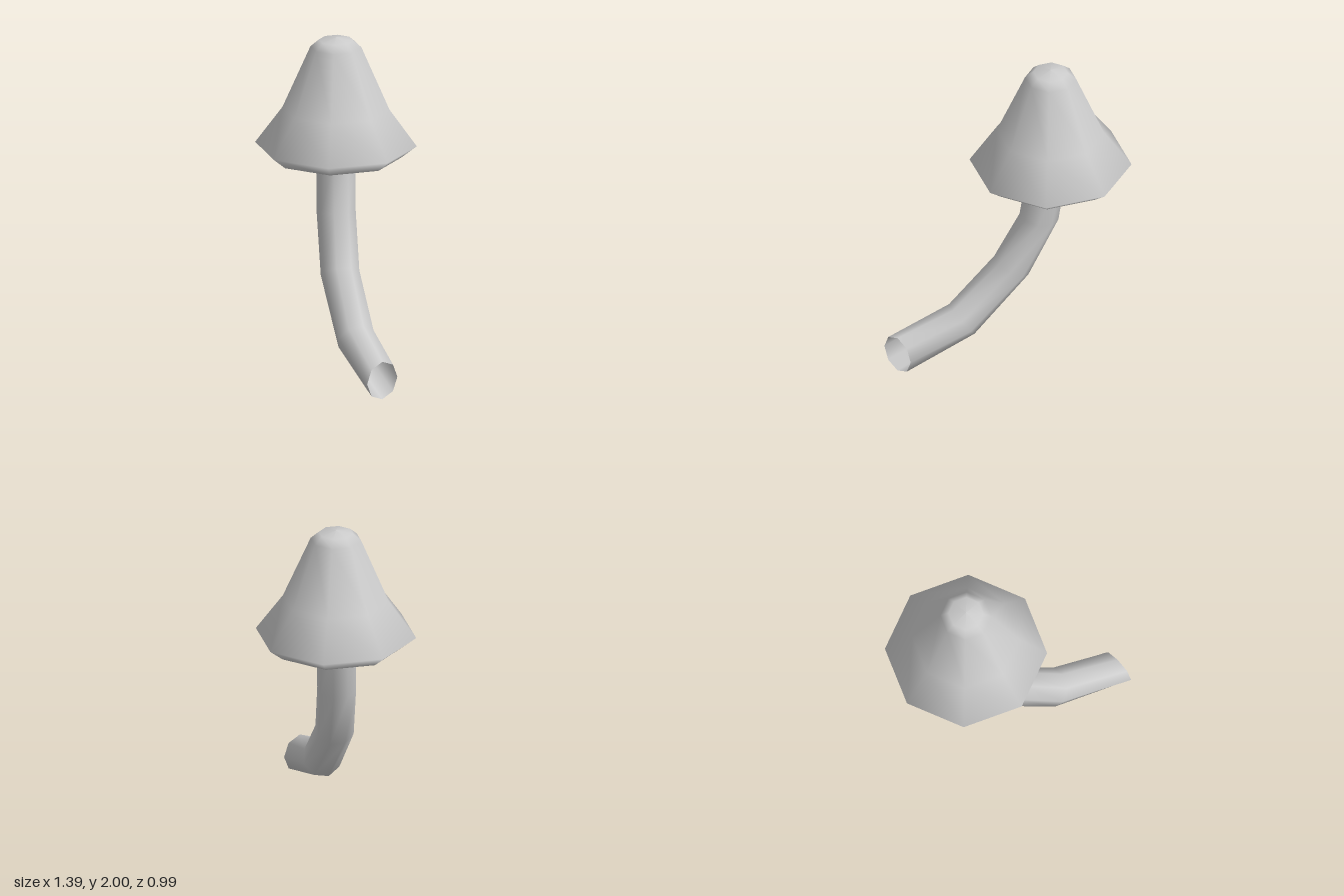
import * as THREE from 'three';
import { mergeVertices } from 'three/addons/utils/BufferGeometryUtils.js';

const material = new THREE.MeshStandardMaterial({ color: 0xcccccc, side: THREE.DoubleSide });
const SIDES = 8;
const v = (x, y, z) => new THREE.Vector3(x, y, z);

// Bent octagonal tube: each row of a cylinder is moved onto a ring with its own centre and direction
function bentTube(rings, radius) {
  const geo = new THREE.CylinderGeometry(1, 1, 1, SIDES, rings.length - 1, true);
  const pos = geo.attributes.position;
  rings.forEach(([centre, direction], row) => {
    const t = direction.clone().normalize();
    const n = v(0, 0, 1).cross(t).normalize();
    const b = t.clone().cross(n);
    for (let i = 0; i <= SIDES; i++) {
      const k = row * (SIDES + 1) + i;
      const p = centre.clone()
        .addScaledVector(n, pos.getX(k) * radius)
        .addScaledVector(b, pos.getZ(k) * radius);
      pos.setXYZ(k, p.x, p.y, p.z);
    }
  });
  geo.deleteAttribute('uv');
  geo.deleteAttribute('normal');
  const welded = mergeVertices(geo);
  welded.computeVertexNormals();
  return welded;
}

export function createModel() {
  const group = new THREE.Group();
  const add = (name, geometry, parent = group) => {
    const mesh = new THREE.Mesh(geometry, material);
    mesh.name = name;
    parent.add(mesh);
    return mesh;
  };

  // Stem, from the cap down to its open foot: ring centre, ring direction
  add('stem', bentTube([
    [v(-0.19, 1.27, 0.01), v(0, -1, 0)],
    [v(-0.15, 0.922, 0.04), v(0.035, -0.235, 0.01)],
    [v(-0.005, 0.582, 0.13), v(0.105, -0.21, 0.06)],
    [v(0.29, 0.26, 0.25), v(0.19, -0.14, 0.07)],
    [v(0.695, 0.12, 0.38), v(1, 0, 0)],
  ], 0.119));

  // Bell-shaped cap with a closed, flat underside
  const cap = new THREE.Group();
  cap.name = 'cap';
  cap.position.set(-0.204, 0, -0.004);
  group.add(cap);
  const profile = [[0.4, 1.25], [0.491, 1.322], [0.325, 1.55], [0.155, 1.94], [0.105, 1.983], [0, 2]]
    .map(([r, y]) => new THREE.Vector2(r, y));
  add('capTop', new THREE.LatheGeometry(profile, SIDES), cap);
  const underside = add('capUnderside', new THREE.CircleGeometry(0.4, SIDES).rotateX(Math.PI / 2), cap);
  underside.position.y = 1.25;

  return group;
}
